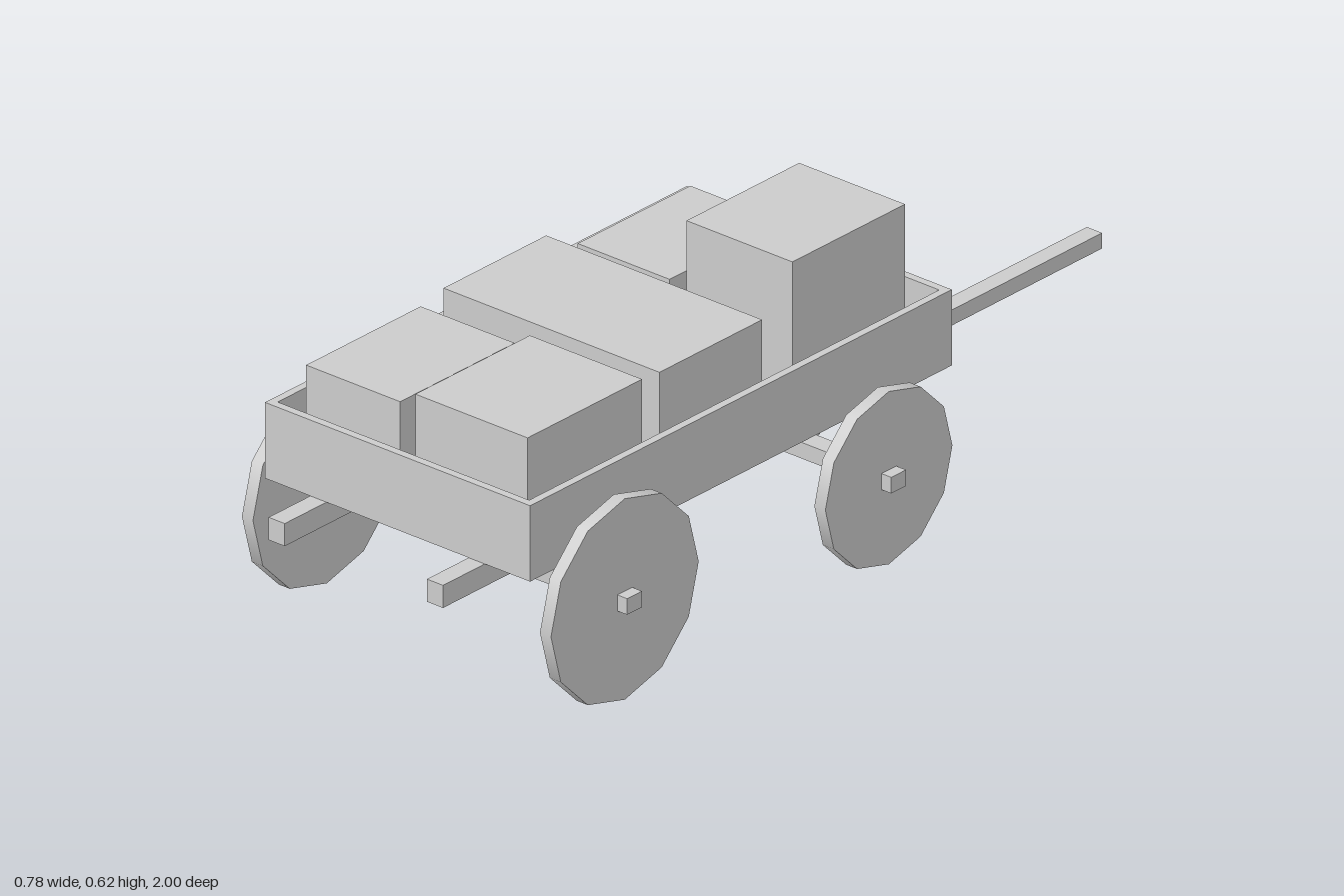
import * as THREE from 'three';

export function createModel() {
  const cart = new THREE.Group();
  cart.name = 'cart';
  const grey = new THREE.MeshStandardMaterial({ color: 0xcccccc });
  grey.name = 'plain grey';

  const add = (name, geometry) => {
    const mesh = new THREE.Mesh(geometry, grey);
    mesh.name = name;
    cart.add(mesh);
    return mesh;
  };
  // Box given by its limits on each axis
  const block = (name, x0, x1, y0, y1, z0, z1) => {
    const mesh = add(name, new THREE.BoxGeometry(x1 - x0, y1 - y0, z1 - z0));
    mesh.position.set((x0 + x1) / 2, (y0 + y1) / 2, (z0 + z1) / 2);
    return mesh;
  };

  // Open tray: one extruded rim and a floor
  const W = 0.313, Z0 = -0.255, Z1 = 0.887, Y0 = 0.292, Y1 = 0.443, T = 0.016;
  const rectangle = (Type, x, z0, z1) => new Type([
    new THREE.Vector2(-x, -z1), new THREE.Vector2(x, -z1),
    new THREE.Vector2(x, -z0), new THREE.Vector2(-x, -z0),
  ]);
  const rim = rectangle(THREE.Shape, W, Z0, Z1);
  rim.holes.push(rectangle(THREE.Path, W - T, Z0 + T, Z1 - T));
  const walls = add('trayWalls', new THREE.ExtrudeGeometry(rim, { depth: Y1 - Y0, bevelEnabled: false }));
  walls.rotation.x = -Math.PI / 2;
  walls.position.y = Y0;
  const floor = Y0 + 0.016;
  block('trayFloor', -W + T, W - T, Y0, floor, Z0 + T, Z1 - T);

  // Crates: x0, x1, top, z0, z1
  [
    [-0.27, -0.048, 0.508, 0.515, 0.825],
    [-0.012, 0.253, 0.535, 0.515, 0.825],
    [-0.27, 0.24, 0.521, 0.175, 0.453],
    [-0.254, -0.037, 0.485, -0.197, 0.108],
    [0.003, 0.253, 0.615, -0.197, 0.108],
  ].forEach(([x0, x1, top, z0, z1]) => block('crate', x0, x1, floor, top, z0, z1));

  // Axles with twelve-sided wheels: height and radius, z
  [['front', 0.2, 0.69], ['rear', 0.172, -0.025]].forEach(([end, r, z]) => {
    block(end + 'Axle', -0.388, 0.388, r - 0.016, r + 0.016, z - 0.02, z + 0.02);
    for (const side of [-1, 1]) {
      const wheel = add(end + 'Wheel', new THREE.CylinderGeometry(r, r, 0.026, 12).rotateZ(Math.PI / 2));
      wheel.position.set(side * 0.352, r, z);
    }
  });

  // Drawbar
  block('drawbar', -0.018, 0.018, 0.147, 0.178, -1, -0.255);

  for (const side of [-1, 1]) {
    // Long rails under the tray
    const x = side * 0.187;
    block('rail', x - 0.019, x + 0.019, 0.247, Y0, -0.287, 1);

    // Slanted braces from the drawbar to the rear axle
    const from = new THREE.Vector3(side * 0.015, 0.159, -0.38);
    const to = new THREE.Vector3(side * 0.155, 0.172, -0.03);
    const brace = add('drawbarBrace', new THREE.BoxGeometry(0.022, 0.02, from.distanceTo(to)));
    brace.position.copy(from).lerp(to, 0.5);
    brace.lookAt(to);
  }
  return cart;
}
